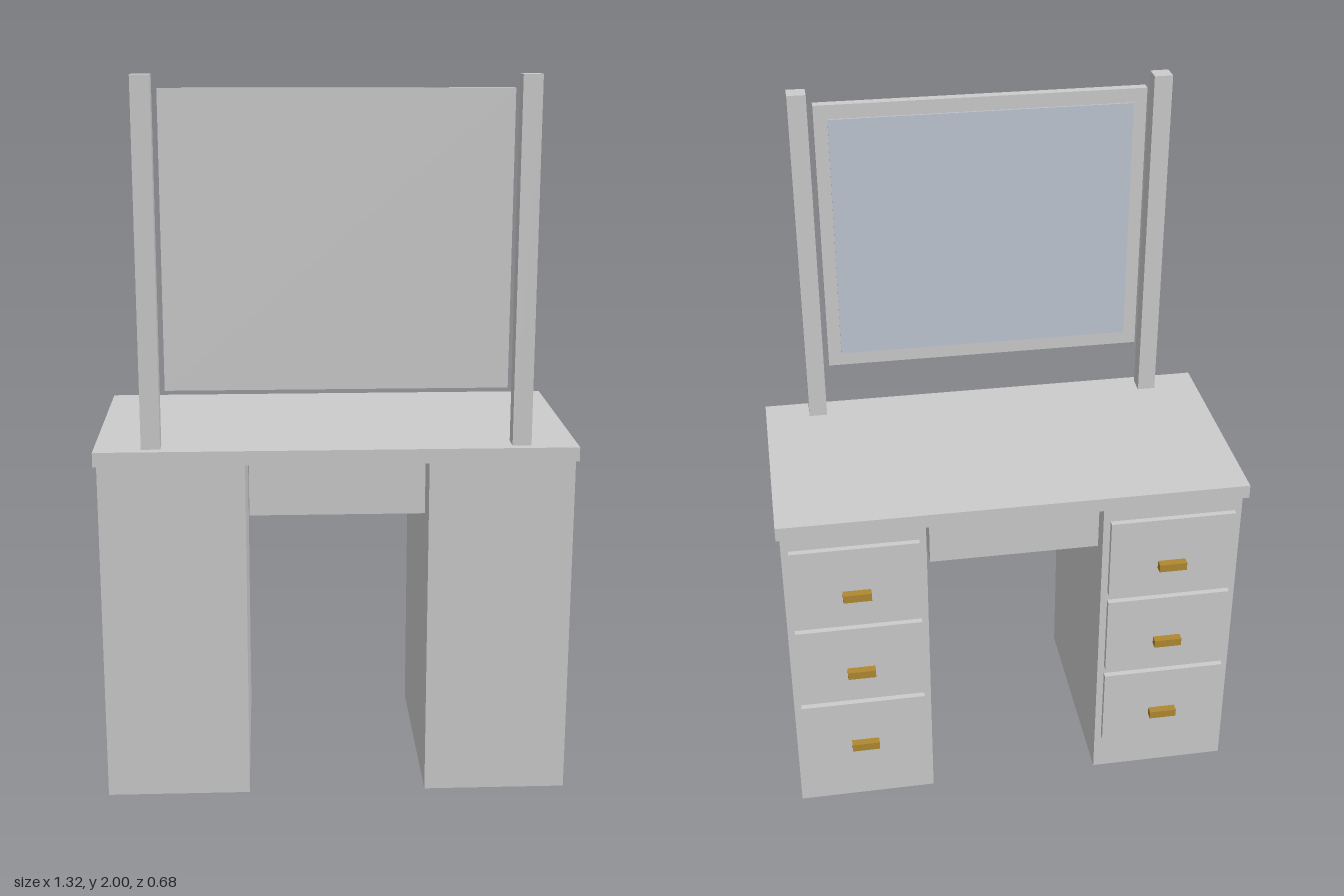
import * as THREE from 'three';

const grey = new THREE.MeshStandardMaterial({ color: 0xcccccc });
const greyThin = new THREE.MeshStandardMaterial({ color: 0xcccccc, side: THREE.DoubleSide });
const glass = new THREE.MeshStandardMaterial({ color: 0xbfc6d1 });
const brass = new THREE.MeshStandardMaterial({ color: 0xb08830 });

// Box given by its limits on each axis
function box(parent, name, [x0, x1], [y0, y1], [z0, z1], material = grey) {
  const mesh = new THREE.Mesh(new THREE.BoxGeometry(x1 - x0, y1 - y0, z1 - z0), material);
  mesh.position.set((x0 + x1) / 2, (y0 + y1) / 2, (z0 + z1) / 2);
  mesh.name = name;
  parent.add(mesh);
  return mesh;
}

export function createModel() {
  const model = new THREE.Group();
  model.name = 'dressingTable';

  box(model, 'tableTop', [-0.66, 0.66], [0.97, 1.01], [-0.325, 0.335]);
  box(model, 'centreDrawer', [-0.24, 0.24], [0.825, 0.97], [-0.285, 0.325]);

  for (const side of [-1, 1]) {
    const pedestal = new THREE.Group();
    pedestal.name = side > 0 ? 'leftPedestal' : 'rightPedestal';
    pedestal.position.x = side * 0.45;
    model.add(pedestal);

    // Thin-walled carcass, open underneath: drop the bottom face of the box
    const carcass = box(pedestal, 'carcass', [-0.2, 0.2], [0, 0.97], [-0.3, 0.335], greyThin);
    const index = Array.from(carcass.geometry.index.array);
    index.splice(18, 6);
    carcass.geometry.setIndex(index);

    // Three drawers with brass pulls
    for (let i = 0; i < 3; i++) {
      const y = 0.12 + i * 0.274;
      box(pedestal, 'drawerFront', [-0.18, 0.18], [y, y + 0.247], [-0.317, -0.3]);
      box(pedestal, 'drawerPull', [-0.04, 0.04], [y + 0.083, y + 0.107], [-0.34, -0.317], brass);
    }

    // Post beside the mirror
    const x = side * 0.505;
    box(model, 'mirrorPost', [x - 0.026, x + 0.026], [1.01, 2], [0.257, 0.309]);
  }

  // Mirror panel and glass, facing the drawer side
  box(model, 'mirrorFrame', [-0.463, 0.463], [1.17, 1.965], [0.269, 0.296]);
  box(model, 'mirrorGlass', [-0.425, 0.425], [1.21, 1.925], [0.264, 0.269], glass);

  return model;
}
